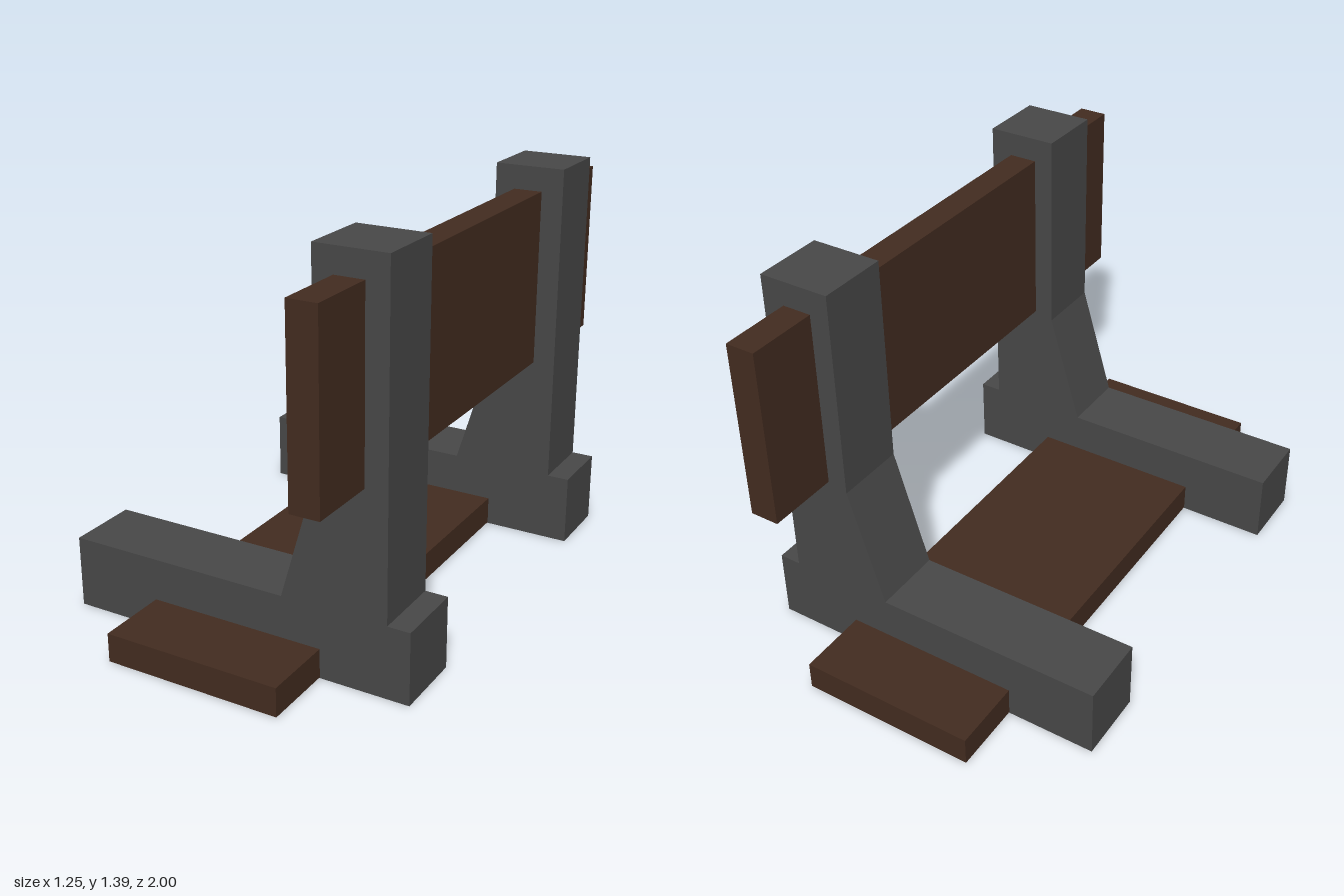
import * as THREE from 'three';

const stone = new THREE.MeshStandardMaterial({ color: 0x484848, flatShading: true });
const wood = new THREE.MeshStandardMaterial({ color: 0x432c20, flatShading: true });

// Side profile of a support: long foot, sloped brace and upright post
const PROFILE = [
  [-0.625, 0], [0.625, 0], [0.625, 0.25], [0.547, 0.25], [0.547, 1.39],
  [0.297, 1.39], [0.297, 0.66], [0.175, 0.25], [-0.625, 0.25],
];

function plank(name, x0, x1, y0, y1) {
  const mesh = new THREE.Mesh(new THREE.BoxGeometry(x1 - x0, y1 - y0, 2), wood);
  mesh.position.set((x0 + x1) / 2, (y0 + y1) / 2, 0);
  mesh.name = name;
  return mesh;
}

export function createModel() {
  const group = new THREE.Group();
  group.name = 'bench';

  // Two identical supports
  const shape = new THREE.Shape(PROFILE.map(([x, y]) => new THREE.Vector2(x, y)));
  const supportGeometry = new THREE.ExtrudeGeometry(shape, { depth: 0.25, bevelEnabled: false });
  supportGeometry.translate(0, 0, -0.125);
  for (const [name, z] of [['frontSupport', 0.625], ['backSupport', -0.625]]) {
    const support = new THREE.Mesh(supportGeometry, stone);
    support.position.z = z;
    support.name = name;
    group.add(support);
  }

  // Planks running through both supports
  group.add(plank('seatPlank', -0.3125, 0.3125, 0.003, 0.103));
  group.add(plank('backrestPlank', 0.367, 0.469, 0.68, 1.305));
  return group;
}
